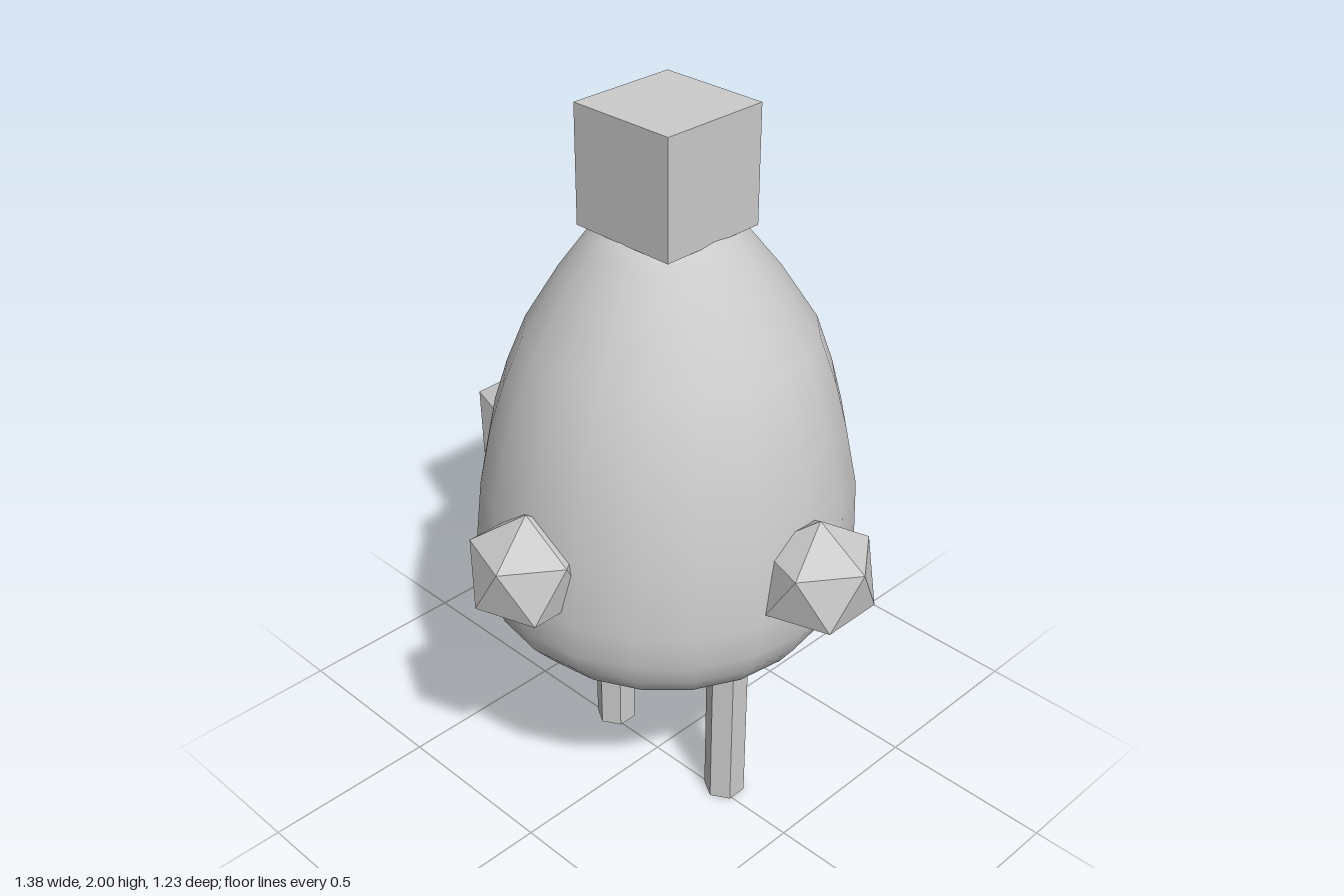
import * as THREE from 'three';
import { mergeVertices } from 'three/addons/utils/BufferGeometryUtils.js';

const smooth = new THREE.MeshStandardMaterial({ color: 0xcccccc });
const faceted = new THREE.MeshStandardMaterial({ color: 0xcccccc, flatShading: true });

// Body rings from bottom to top: height, radius, centre x, centre z
const RINGS = [
  [0.505, 0, 0.08, 0], [0.515, 0.18, 0.08, 0], [0.54, 0.29, 0.07, 0],
  [0.59, 0.42, 0.035, 0], [0.64, 0.475, 0.015, -0.01], [0.7, 0.503, 0.01, -0.02],
  [0.8, 0.512, 0.01, -0.02], [0.98, 0.5, 0.01, -0.03], [1.15, 0.465, 0.01, -0.03],
  [1.27, 0.43, 0.01, -0.035], [1.4, 0.38, 0.01, -0.04], [1.55, 0.285, 0.005, -0.04],
  [1.65, 0.21, 0.005, -0.035], [1.69, 0.16, 0.01, -0.03], [1.725, 0.08, 0.01, -0.025],
  [1.735, 0, 0.01, -0.025],
];

// Slightly lopsided egg: a lathe whose rings are shifted off the axis
function bodyGeometry() {
  const lathe = new THREE.LatheGeometry(RINGS.map(([y, r]) => new THREE.Vector2(r, y)), 20);
  const pos = lathe.attributes.position;
  for (let i = 0; i < pos.count; i++) {
    const [, , cx, cz] = RINGS[i % RINGS.length];
    pos.setX(i, pos.getX(i) + cx);
    pos.setZ(i, pos.getZ(i) + cz);
  }
  lathe.deleteAttribute('uv');
  lathe.deleteAttribute('normal');
  const geometry = mergeVertices(lathe, 1e-4);
  geometry.computeVertexNormals();
  return geometry;
}

export function createModel() {
  const model = new THREE.Group();
  const add = (name, geometry, material, x = 0, y = 0, z = 0) => {
    const mesh = new THREE.Mesh(geometry, material);
    mesh.name = name;
    mesh.position.set(x, y, z);
    model.add(mesh);
  };

  add('body', bodyGeometry(), smooth);
  add('head', new THREE.BoxGeometry(0.314, 0.314, 0.314), faceted, 0.01, 1.843, -0.025);

  // Six-sided legs, sunk a little into the body
  const leg = new THREE.CylinderGeometry(0.058, 0.058, 0.56, 6);
  add('rightLeg', leg, faceted, -0.2, 0.28, -0.022);
  add('leftLeg', leg, faceted, 0.25, 0.28, -0.022);

  // Icosahedron knobs, each standing on a corner
  const knob = new THREE.IcosahedronGeometry(0.165, 0);
  knob.rotateZ(-Math.atan(2 / (1 + Math.sqrt(5))));
  add('rightKnob', knob, faceted, -0.543, 0.9, -0.025);
  add('leftKnob', knob, faceted, 0.543, 0.9, -0.025);
  add('frontKnob', knob, faceted, 0.01, 0.9, 0.47);
  add('backKnob', knob, faceted, 0.01, 0.9, -0.475);

  return model;
}
